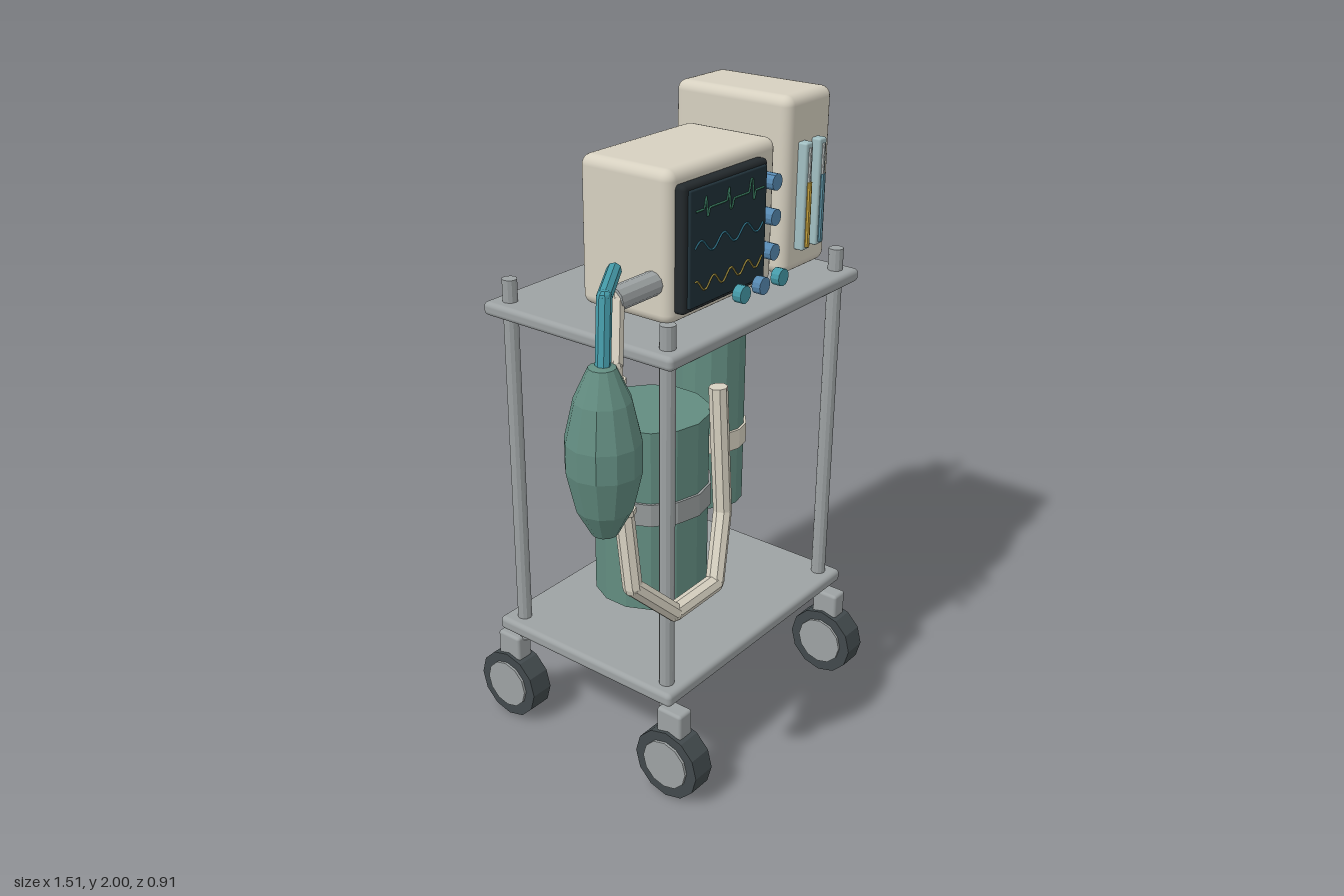
import * as THREE from 'three';
import { RoundedBoxGeometry } from 'three/addons/geometries/RoundedBoxGeometry.js';

const CREAM = 0xd6d0c0, GREEN = 0x628c80, TEAL = 0x459aa8, BLUE = 0x5688b0;
const STEEL = 0x9da2a3, DARK = 0x41494c, BLACK = 0x23292c;

export function createModel() {
  const model = new THREE.Group();

  const add = (name, geometry, color, [x, y, z] = [0, 0, 0], flat = true) => {
    const material = new THREE.MeshStandardMaterial({ color, flatShading: flat });
    const mesh = new THREE.Mesh(geometry, material);
    mesh.name = name;
    mesh.position.set(x, y, z);
    model.add(mesh);
    return mesh;
  };
  // Box given by its extents on each axis, with rounded edges
  const box = (name, color, [x0, x1], [y0, y1], [z0, z1], r) =>
    add(name, new RoundedBoxGeometry(x1 - x0, y1 - y0, z1 - z0, 3, r), color,
      [(x0 + x1) / 2, (y0 + y1) / 2, (z0 + z1) / 2], false);
  // Upright cylinder between two heights
  const post = (name, color, r, y0, y1, x, z, sides = 12) =>
    add(name, new THREE.CylinderGeometry(r, r, y1 - y0, sides), color, [x, (y0 + y1) / 2, z]);
  // Cylinder whose axis faces the front
  const disc = (name, color, r, depth, pos, sides = 16) => {
    const mesh = add(name, new THREE.CylinderGeometry(r, r, depth, sides), color, pos);
    mesh.rotation.x = Math.PI / 2;
    return mesh;
  };
  // Straight pipe sections through a list of points, with ball joints
  const pipe = (name, color, r, points, sides = 8) => {
    const pts = points.map(p => new THREE.Vector3(...p));
    for (let i = 1; i < pts.length; i++) {
      const dir = pts[i].clone().sub(pts[i - 1]);
      const mid = pts[i].clone().add(pts[i - 1]).multiplyScalar(0.5);
      const part = add(name, new THREE.CylinderGeometry(r, r, dir.length(), sides), color, mid.toArray());
      part.quaternion.setFromUnitVectors(new THREE.Vector3(0, 1, 0), dir.normalize());
      if (i < pts.length - 1) add(name + 'Joint', new THREE.SphereGeometry(r, sides, 6), color, points[i]);
    }
  };

  // Trolley shelves
  box('lowerShelf', STEEL, [-0.355, 0.58], [0.325, 0.37], [-0.357, 0.337], 0.015);
  box('upperShelf', STEEL, [-0.355, 0.58], [1.4, 1.442], [-0.357, 0.337], 0.015);

  // Posts and casters, one per corner
  for (const [px, wx] of [[-0.3, -0.315], [0.524, 0.535]]) {
    for (const [pz, wz] of [[-0.297, -0.335], [0.283, 0.323]]) {
      post('post', STEEL, 0.023, 0.29, 1.51, px, pz);
      box('casterFork', STEEL, [wx - 0.028, wx + 0.032], [0.2, 0.302], [wz - 0.045, wz + 0.045], 0.01);
      const wheel = add('casterWheel', new THREE.CylinderGeometry(0.115, 0.115, 0.078, 12), DARK, [wx, 0.117, wz]);
      wheel.rotation.z = Math.PI / 2;
      const hub = add('casterHub', new THREE.CylinderGeometry(0.08, 0.08, 0.02, 12), STEEL, [wx - 0.037, 0.12, wz]);
      hub.rotation.z = Math.PI / 2;
    }
  }

  // Patient monitor
  box('monitorCase', CREAM, [-0.305, 0.175], [1.5, 1.92], [-0.02, 0.29], 0.03);
  box('monitorBezel', BLACK, [-0.28, 0.092], [1.533, 1.882], [0.27, 0.318], 0.012);
  box('monitorScreen', 0x203139, [-0.263, 0.077], [1.548, 1.868], [0.3, 0.326], 0.004);

  // Screen traces: pulse, wave and slow wave
  const pulse = t => {
    const u = (t * 3) % 1;
    return u > 0.4 && u < 0.5 ? 0.035 : u >= 0.5 && u < 0.6 ? -0.025 : 0;
  };
  const traces = [
    ['pulseTrace', 0x37765c, 1.81, pulse],
    ['pressureTrace', 0x2f7288, 1.71, t => 0.018 * Math.sin(t * 19)],
    ['breathTrace', 0x9c8a3c, 1.605, t => 0.016 * Math.sin(t * 25 + 1)],
  ];
  for (const [name, color, y, rule] of traces) {
    const path = new THREE.CurvePath();
    const at = i => new THREE.Vector3(-0.245 + 0.305 * i / 40, y + rule(i / 40), 0.328);
    for (let i = 0; i < 40; i++) path.add(new THREE.LineCurve3(at(i), at(i + 1)));
    add(name, new THREE.TubeGeometry(path, 120, 0.003, 4), color);
  }

  // Monitor knobs
  for (const y of [1.61, 1.71, 1.81]) {
    disc('sideKnob', BLUE, 0.024, 0.045, [0.121, y, 0.308], 12);
  }
  [TEAL, BLUE, TEAL].forEach((color, i) =>
    disc('lowerKnob', color, 0.025, 0.027, [-0.094 + i * 0.09, 1.557, 0.372], 12));

  // Ventilator with two flow tubes
  box('ventilatorCase', CREAM, [0.286, 0.516], [1.472, 2], [-0.16, 0.25], 0.03);
  [[0.358, 0xc6a23e, 1.75], [0.428, 0x5c8fa0, 1.76]].forEach(([x, color, top]) => {
    box('flowTube', 0xa2bfc2, [x - 0.018, x + 0.018], [1.545, 1.865], [0.245, 0.279], 0.006);
    post('flowLevel', color, 0.008, 1.555, top, x, 0.282, 8);
    post('flowRod', 0xd5dcdb, 0.005, top, 1.85, x, 0.28, 8);
  });

  // Gas cylinder: body, valve neck, cap and straps
  const gx = 0.596, gz = -0.24;
  const profile = [[0, 0.465], [0.123, 0.465], [0.123, 1.63], [0.112, 1.67], [0.08, 1.7], [0, 1.705]];
  add('gasCylinder', new THREE.LatheGeometry(profile.map(p => new THREE.Vector2(...p)), 14), GREEN, [gx, 0, gz]);
  post('gasNeck', STEEL, 0.046, 1.69, 1.79, gx, gz);
  post('gasCap', DARK, 0.062, 1.785, 1.823, gx, gz);
  post('upperStrap', CREAM, 0.126, 1.153, 1.275, gx, gz, 14);
  post('lowerStrap', CREAM, 0.132, 0.683, 0.755, gx, gz, 14);

  // Pressure gauge
  disc('gauge', CREAM, 0.062, 0.03, [0.69, 1.75, -0.195], 20);
  const needle = add('gaugeNeedle', new THREE.BoxGeometry(0.008, 0.04, 0.004), BLACK, [0.704, 1.763, -0.178]);
  needle.rotation.z = -0.8;

  // Absorber drum with band
  post('drum', GREEN, 0.179, 0.485, 1.087, -0.022, 0, 14);
  post('drumBand', 0x969b9b, 0.187, 0.782, 0.855, -0.022, 0, 14);

  // Breathing bag and its connector
  const bag = [[0, 1.05], [0.035, 1.065], [0.075, 1.14], [0.1, 1.25], [0.1, 1.33], [0.075, 1.44], [0.036, 1.525], [0, 1.535]];
  add('breathingBag', new THREE.LatheGeometry(bag.map(p => new THREE.Vector2(...p)), 12), GREEN, [-0.654, 0, 0.36]);
  pipe('bagConnector', TEAL, 0.02, [[-0.655, 1.51, 0.363], [-0.622, 1.692, 0.343], [-0.455, 1.692, 0.232]]);

  // Breathing hose
  pipe('hose', CREAM, 0.027, [
    [-0.29, 1.615, 0.235], [-0.46, 1.615, 0.235], [-0.55, 1.48, 0.305], [-0.568, 1.25, 0.33],
    [-0.57, 0.87, 0.38], [-0.435, 0.738, 0.415], [-0.255, 0.748, 0.42],
    [-0.17, 0.93, 0.38], [-0.175, 1.31, 0.36],
  ]);
  post('hosePort', STEEL, 0.034, -0.085, 0.085, -0.38, 0.235).rotation.z = Math.PI / 2;
  model.children.at(-1).position.y = 1.615;

  // Hose ribs
  for (let i = 0; i < 11; i++) {
    const y = 1.09 + i * 0.035;
    const z = y < 1.25 ? 0.33 + (1.25 - y) * 0.13 : 0.33 - (y - 1.25) * 0.11;
    const x = y < 1.25 ? -0.568 : -0.568 + (y - 1.25) * 0.078;
    post('hoseRib', CREAM, 0.033, y - 0.008, y + 0.008, x, z, 8);
  }
  return model;
}
